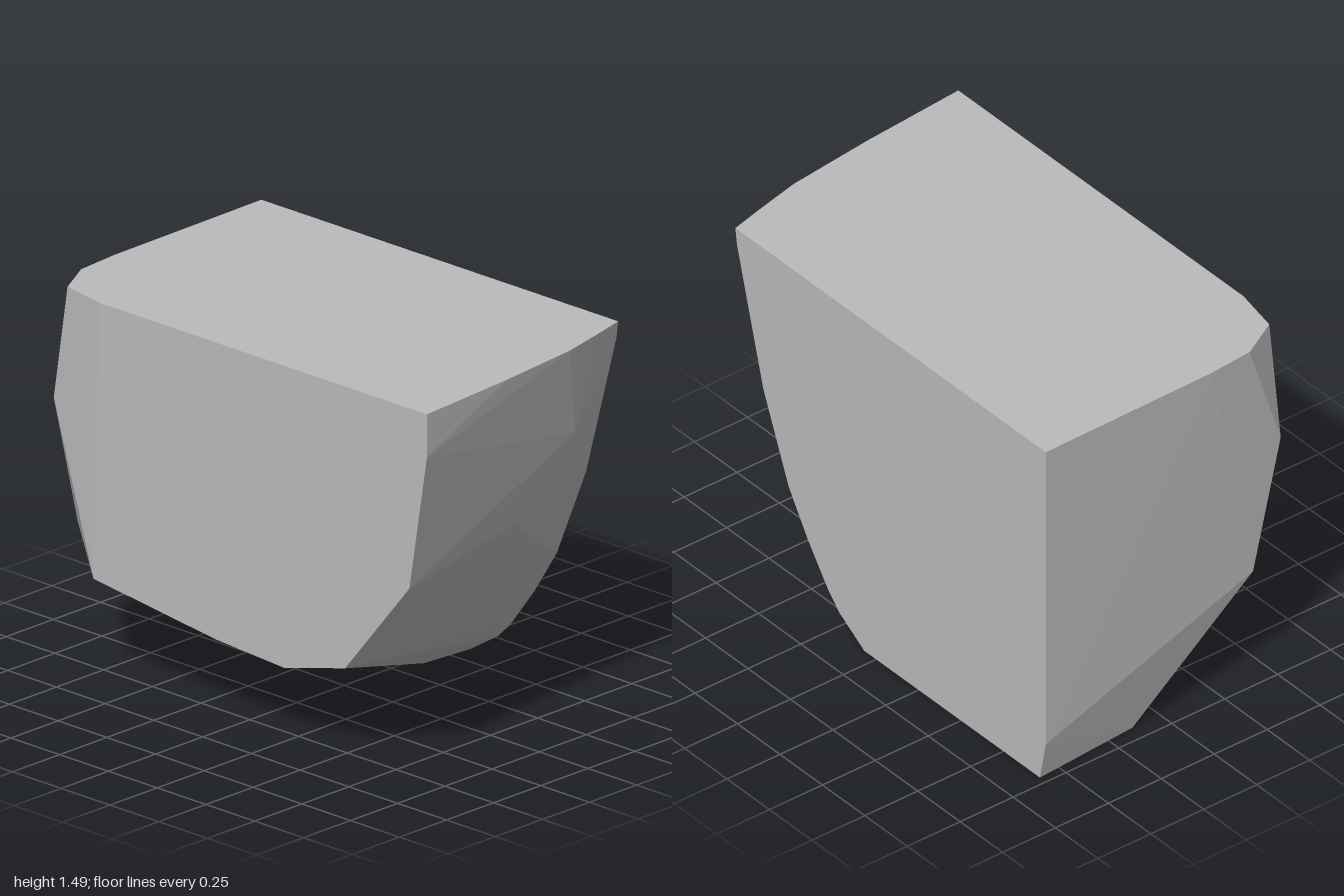
import * as THREE from 'three';
import { ConvexGeometry } from 'three/addons/geometries/ConvexGeometry.js';

const TOP = 1.49, BACK = -0.595, FRONT = 0.595;

export function createModel() {
  const group = new THREE.Group();
  group.name = 'facetedBlock';
  const stoneGrey = new THREE.MeshStandardMaterial({ color: 0xbababa });
  stoneGrey.name = 'stoneGrey';

  // Flat top outline, as [x, z]
  const top = [[-1, BACK], [0.83, BACK], [0.87, -0.44], [0.915, -0.25], [0.96, 0.13], [1, FRONT],
    [-0.68, FRONT], [-0.88, 0.557], [-0.972, 0.39], [-0.988, 0.2]];
  // Flat base outline, as [x, z]
  const base = [[-0.965, BACK], [0.07, BACK], [0.05, -0.37], [-0.4, -0.13], [-0.93, -0.13]];
  // Rounded edge of the back cut, as [x, y]
  const back = [[-1, 0.17], [0.82, 1.42], [0.665, 0.855], [0.515, 0.495], [0.4, 0.315], [0.28, 0.155], [0.215, 0.09]];
  // Edge of the front cut, as [x, y]
  const front = [[1, 1.32], [0.91, 0.78], [0.58, 0.38], [0.27, 0.3], [-0.08, 0.32], [-0.71, 0.395]];
  // Loose corners on the two sides, as [x, y, z]
  const sides = [[0.855, 1.13, -0.34], [0.83, 0.84, -0.04], [-0.962, 1.03, 0.545], [-0.98, 0.5, 0.4]];

  const points = [
    ...top.map(([x, z]) => new THREE.Vector3(x, TOP, z)),
    ...base.map(([x, z]) => new THREE.Vector3(x, 0, z)),
    ...back.map(([x, y]) => new THREE.Vector3(x, y, BACK)),
    ...front.map(([x, y]) => new THREE.Vector3(x, y, FRONT)),
    ...sides.map((p) => new THREE.Vector3(...p)),
  ];

  // Convex chunk with flat facets
  const block = new THREE.Mesh(new ConvexGeometry(points), stoneGrey);
  block.name = 'block';
  group.add(block);
  return group;
}
